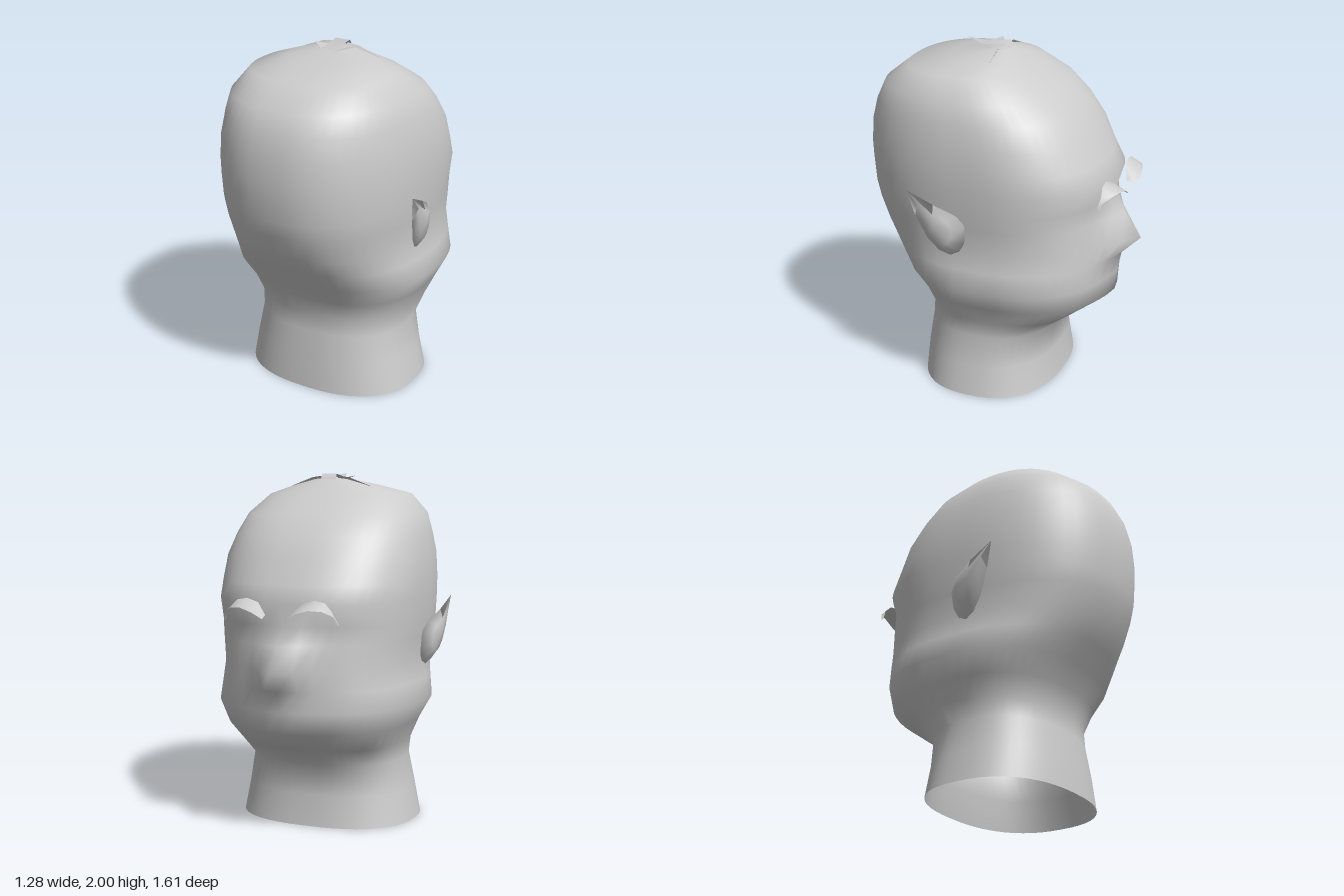
import * as THREE from 'three';

const skin = new THREE.MeshStandardMaterial({ color: 0xcccccc, side: THREE.DoubleSide });
skin.name = 'plain grey';

function makeMesh(name, points, faces) {
  const geometry = new THREE.BufferGeometry();
  geometry.setAttribute('position', new THREE.Float32BufferAttribute(points.flat(), 3));
  geometry.setIndex(faces.flat());
  geometry.computeVertexNormals();
  const mesh = new THREE.Mesh(geometry, skin);
  mesh.name = name;
  return mesh;
}

// Joins equal rows of points; closed rows wrap around
function stitch(rows, count, closed) {
  const faces = [];
  for (let j = 0; j < rows - 1; j++) {
    for (let i = 0; i < (closed ? count : count - 1); i++) {
      const k = (i + 1) % count;
      const a = j * count + i, b = j * count + k;
      faces.push([a, b, b + count], [a, b + count, a + count]);
    }
  }
  return faces;
}

// Horizontal head sections: y, half width, back z, face z, middle z, nose bump
const SECTIONS = [
  [0, 0.525, 0.47, -0.35, 0.06, 0],
  [0.18, 0.49, 0.455, -0.325, 0.06, 0],
  [0.36, 0.455, 0.43, -0.325, 0.05, 0],
  [0.47, 0.48, 0.42, -0.475, 0, 0.01],
  [0.59, 0.53, 0.47, -0.63, 0, 0.025],
  [0.71, 0.595, 0.55, -0.635, 0, 0.03],
  [0.83, 0.57, 0.635, -0.64, 0, 0.05],
  [0.94, 0.55, 0.71, -0.64, 0, 0.16],
  [1.08, 0.565, 0.765, -0.625, 0, 0.075],
  [1.18, 0.575, 0.79, -0.61, 0, 0.01],
  [1.3, 0.58, 0.8, -0.65, 0, 0],
  [1.4, 0.58, 0.805, -0.59, 0, 0],
  [1.54, 0.57, 0.795, -0.525, 0.02, 0],
  [1.66, 0.54, 0.765, -0.44, 0.06, 0],
  [1.77, 0.505, 0.71, -0.33, 0.12, 0],
  [1.88, 0.41, 0.57, -0.15, 0.18, 0],
  [1.93, 0.25, 0.33, -0.06, 0.12, 0],
  [1.965, 0.1, 0.14, -0.01, 0.06, 0],
];

function createHead() {
  const count = 48;
  const points = [];
  const round = (v) => Math.sign(v) * Math.abs(v) ** (2 / 2.4);
  for (const [y, half, back, face, mid, nose] of SECTIONS) {
    for (let i = 0; i < count; i++) {
      const angle = (i / count) * Math.PI * 2;
      const x = half * round(Math.sin(angle));
      const c = round(Math.cos(angle));
      let z = mid + c * (c > 0 ? back - mid : mid - face);
      if (c < 0) z -= nose * Math.max(0, 1 - Math.abs(x) / 0.21);
      points.push([x, y, z]);
    }
  }
  const faces = stitch(SECTIONS.length, count, true);
  // Crown
  const last = (SECTIONS.length - 1) * count;
  points.push([0, 1.975, 0.06]);
  for (let i = 0; i < count; i++) faces.push([last + i, last + ((i + 1) % count), points.length - 1]);
  return makeMesh('head', points, faces);
}

// Pointed ear: an outline with a bulging outer side and a shallow inner side
function createEar(side) {
  const outline = [
    [0.635, 1.29, 0.35], [0.62, 1.22, 0.2], [0.585, 1.16, 0.08], [0.56, 1.09, 0.03],
    [0.55, 0.99, 0.04], [0.55, 0.93, 0.08], [0.555, 0.905, 0.13], [0.57, 0.93, 0.19],
    [0.59, 1.0, 0.25], [0.615, 1.14, 0.31],
  ];
  const n = outline.length;
  const bulge = outline.map(([x, y, z]) => [
    0.35 * x + 0.65 * 0.625 + 0.012, 0.6 * y + 0.4 * 1.09, 0.6 * z + 0.4 * 0.19,
  ]);
  const points = [...outline, ...bulge, [0.64, 1.1, 0.19], [0.565, 1.08, 0.17]]
    .map(([x, y, z]) => [x * side, y, z]);
  const faces = stitch(2, n, true);
  for (let i = 0; i < n; i++) {
    const k = (i + 1) % n;
    faces.push([n + i, n + k, 2 * n], [k, i, 2 * n + 1]);
  }
  // The outline runs clockwise seen from the left, so that side is flipped
  return makeMesh(side > 0 ? 'leftEar' : 'rightEar', points,
    side > 0 ? faces.map(([a, b, c]) => [a, c, b]) : faces);
}

// Arched eyebrow strip with a front and a back edge
function createBrow(side) {
  const front = [
    [0.07, 1.23, -0.735], [0.13, 1.265, -0.745], [0.2, 1.285, -0.735],
    [0.27, 1.28, -0.71], [0.32, 1.25, -0.67], [0.34, 1.2, -0.65],
  ];
  const back = [
    [0.075, 1.245, -0.68], [0.13, 1.31, -0.655], [0.2, 1.33, -0.645],
    [0.26, 1.32, -0.647], [0.3, 1.28, -0.655], [0.335, 1.21, -0.64],
  ];
  const points = [...front, ...back].map(([x, y, z]) => [x * side, y, z]);
  const faces = stitch(2, front.length, false);
  return makeMesh(side > 0 ? 'leftBrow' : 'rightBrow', points,
    side > 0 ? faces.map(([a, b, c]) => [a, c, b]) : faces);
}

// Small tuft on the crown: one long blade and a leaf on each side
function createTuft() {
  const tuft = new THREE.Group();
  tuft.name = 'tuft';
  const blade = [
    [-0.045, 1.995, 0.015], [0.045, 1.995, 0.015], [-0.04, 1.975, 0.15],
    [0.04, 1.975, 0.15], [0, 2, 0.27], [-0.05, 1.94, -0.02], [0.05, 1.94, -0.02],
  ];
  tuft.add(makeMesh('tuftBlade', blade,
    [[0, 2, 3], [0, 3, 1], [2, 4, 3], [0, 1, 6], [0, 6, 5]]));
  for (const side of [1, -1]) {
    const leaf = [
      [0.04, 1.985, 0.03], [0.115, 1.975, 0.03], [0.04, 1.965, 0.05],
      [0.13, 1.985, 0.1], [0.04, 1.965, 0.17], [0.25, 1.925, 0.03],
    ].map(([x, y, z]) => [x * side, y, z]);
    const faces = [[0, 2, 1], [2, 4, 3], [1, 2, 5]];
    tuft.add(makeMesh(side > 0 ? 'leftTuftLeaf' : 'rightTuftLeaf', leaf,
      side > 0 ? faces : faces.map(([a, b, c]) => [a, c, b])));
  }
  return tuft;
}

export function createModel() {
  const model = new THREE.Group();
  model.name = 'headBust';
  model.add(createHead(), createTuft());
  for (const side of [1, -1]) model.add(createEar(side), createBrow(side));
  return model;
}
